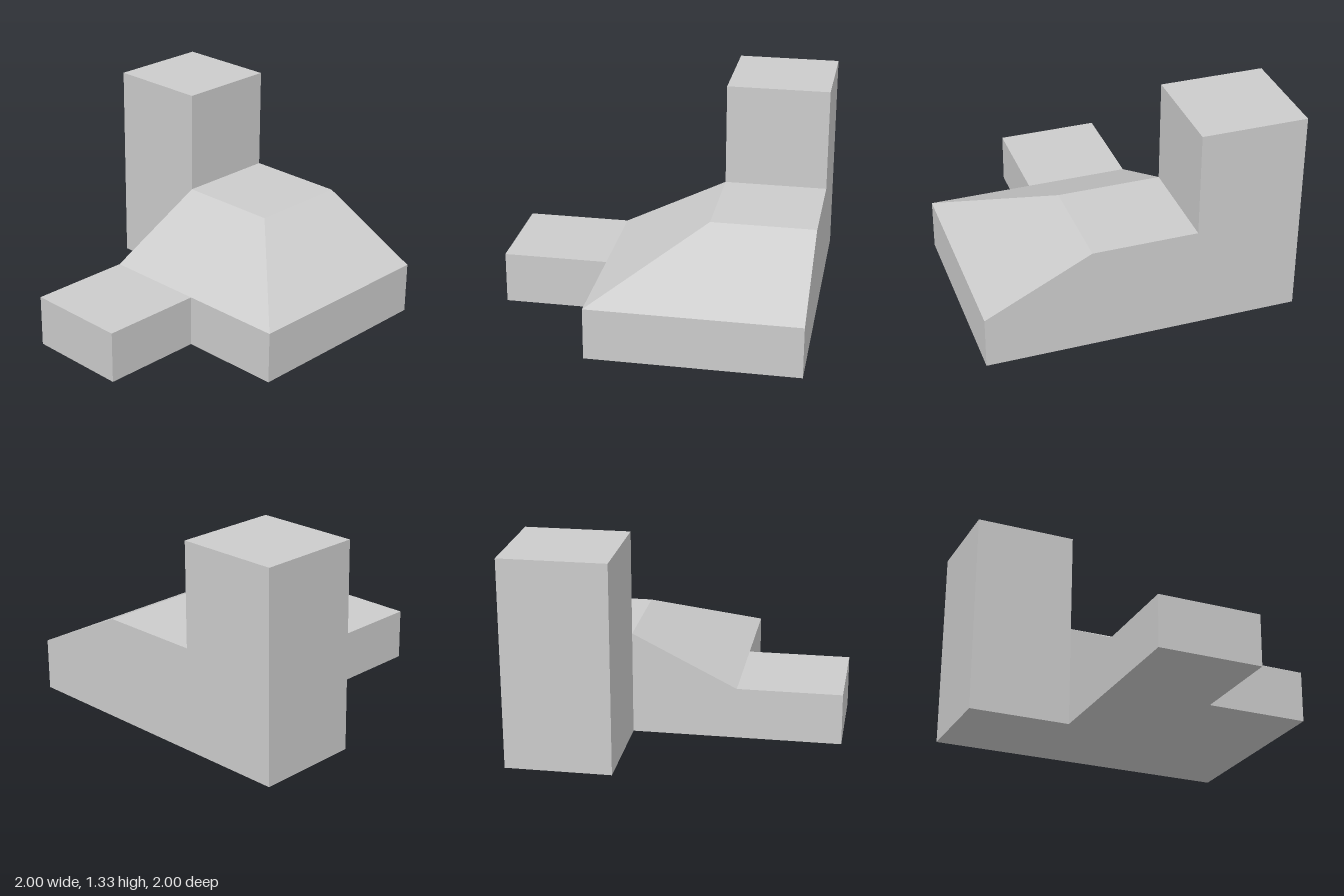
import * as THREE from 'three';

const U = 2 / 3; // grid module: the plan is three by three of these

const material = new THREE.MeshStandardMaterial({ color: 0xcccccc, flatShading: true });

// Box given by its minimum corner and size
function block(name, [x, y, z], [w, h, d], heightSegments = 1) {
  const geometry = new THREE.BoxGeometry(w, h, d, 1, heightSegments, 1);
  geometry.translate(x + w / 2, y + h / 2, z + d / 2);
  const mesh = new THREE.Mesh(geometry, material);
  mesh.name = name;
  return mesh;
}

export function createModel() {
  const group = new THREE.Group();
  group.name = 'buildingMass';

  // Tall square tower in the back corner
  group.add(block('tower', [-1, 0, -1], [U, 2 * U, U]));

  // Low square porch at the front
  group.add(block('porch', [-U / 2, 0, U / 2], [U, U / 2, U]));

  // Main hall: upright walls, with the top pulled in to slope at the front and left
  const hall = block('hallWithSlopedRoof', [-U / 2, 0, -1], [2 * U, U, 2 * U], 2);
  hall.geometry = hall.geometry.toNonIndexed();
  const p = hall.geometry.attributes.position;
  for (let i = 0; i < p.count; i++) {
    if (p.getY(i) < U - 0.01) continue;
    p.setX(i, Math.min(p.getX(i), U / 2));
    p.setZ(i, Math.min(p.getZ(i), -U / 2));
  }
  hall.geometry.computeVertexNormals();
  group.add(hall);

  return group;
}
